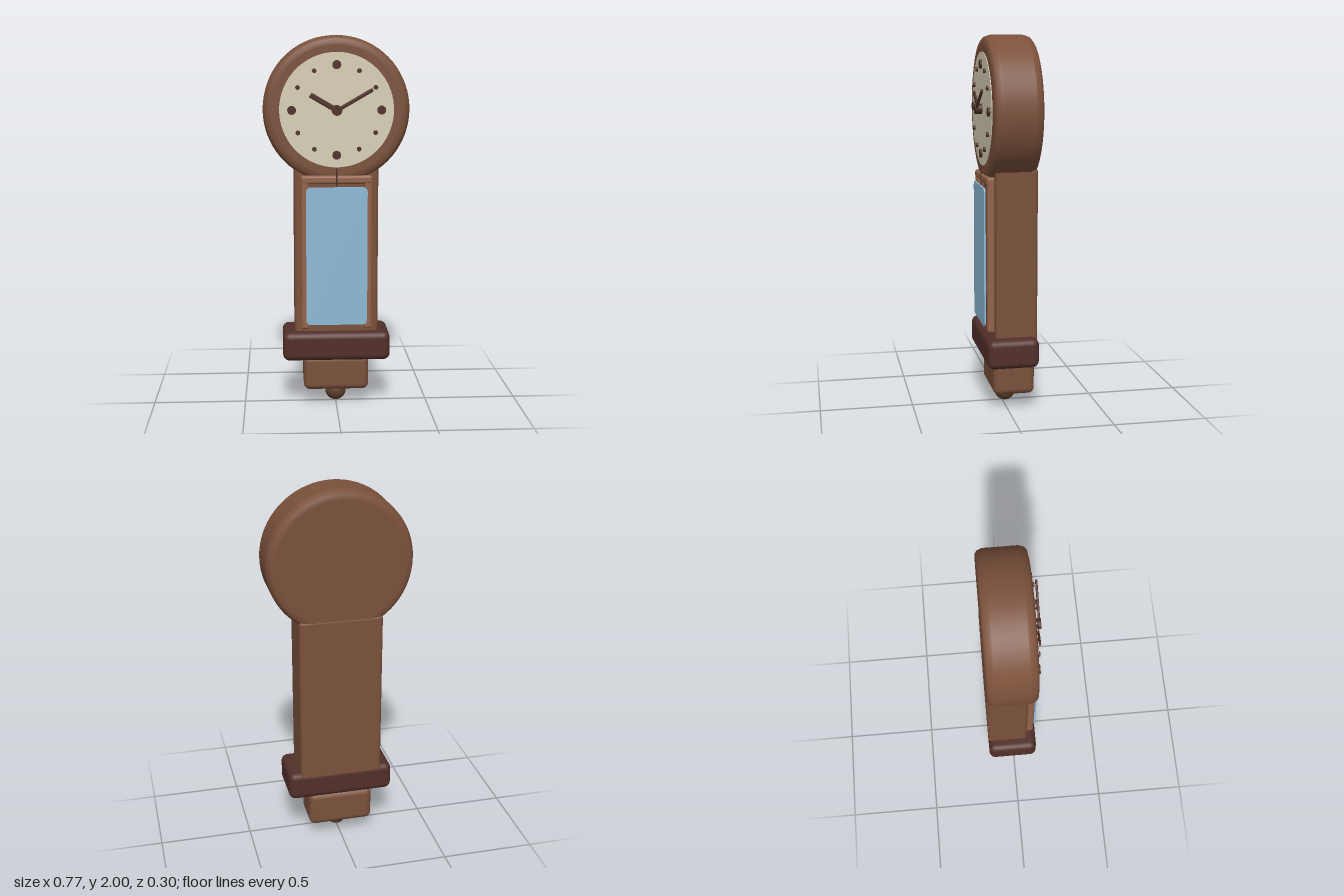
import * as THREE from 'three';
import { RoundedBoxGeometry } from 'three/addons/geometries/RoundedBoxGeometry.js';

const material = (name, color) => {
  const m = new THREE.MeshStandardMaterial({ color });
  m.name = name;
  return m;
};

export function createModel() {
  const wood = material('walnut', 0x7b513b);
  const trim = material('light walnut', 0x92634a);
  const dark = material('dark wood', 0x522f2a);
  const ink = material('dark brown', 0x4f3027);
  const knob = material('knob brown', 0x60402f);
  const cream = material('cream dial', 0xd8cfb6);
  const blue = material('blue glass', 0x8dbad6);

  const clock = new THREE.Group();
  clock.name = 'wallClock';
  const add = (name, geometry, mat, x = 0, y = 0, z = 0, parent = clock) => {
    const mesh = new THREE.Mesh(geometry, mat);
    mesh.name = name;
    mesh.position.set(x, y, z);
    parent.add(mesh);
    return mesh;
  };
  // Rounded block given by its extents in y and z, centred on x
  const block = (name, mat, w, y0, y1, z0, z1, r, x = 0) =>
    add(name, new RoundedBoxGeometry(w, y1 - y0, z1 - z0, 4, r), mat, x, (y0 + y1) / 2, (z0 + z1) / 2);
  // Disc facing +z
  const disc = (r, depth, sides = 32) => new THREE.CylinderGeometry(r, r, depth, sides).rotateX(Math.PI / 2);

  // Round head with softened rims
  const profile = [
    [0, -0.149], [0.338, -0.149], [0.343, -0.149], [0.364, -0.146], [0.377, -0.136], [0.386, -0.11], [0.386, -0.105],
    [0.386, 0.06], [0.386, 0.066], [0.377, 0.092], [0.364, 0.102], [0.343, 0.106], [0.338, 0.106], [0, 0.106],
  ].map(([r, z]) => new THREE.Vector2(r, z));
  add('head', new THREE.LatheGeometry(profile, 72).rotateX(Math.PI / 2), wood, 0, 1.615, 0);

  // Trunk, shelf, lower block and knob
  block('trunk', wood, 0.45, 0.38, 1.32, -0.151, 0.076, 0.02);
  block('shelf', dark, 0.58, 0.26, 0.418, -0.15, 0.126, 0.036);
  block('lowerBlock', wood, 0.354, 0.08, 0.275, -0.148, 0.077, 0.034);
  add('knob', new THREE.SphereGeometry(0.057, 32, 20), knob, 0, 0.057, -0.015);

  // Door frame
  for (const s of [-1, 1]) block(s > 0 ? 'leftStile' : 'rightStile', trim, 0.044, 0.437, 1.26, 0.068, 0.114, 0.014, s * 0.168);
  block('topRail', trim, 0.38, 1.226, 1.271, 0.068, 0.116, 0.014);

  // Pendulum behind the glass
  add('pendulumRod', new THREE.CylinderGeometry(0.005, 0.005, 0.7, 10), ink, 0, 0.96, 0.113);
  add('pendulumBob', disc(0.1, 0.02), ink, 0, 0.61, 0.107);

  // Glass pane with rounded corners
  const w = 0.163, h = 0.373, r = 0.025;
  const pane = new THREE.Shape();
  pane.absarc(w - r, h - r, r, 0, Math.PI / 2);
  pane.absarc(-w + r, h - r, r, Math.PI / 2, Math.PI);
  pane.absarc(-w + r, -h + r, r, Math.PI, Math.PI * 1.5);
  pane.absarc(w - r, -h + r, r, Math.PI * 1.5, Math.PI * 2);
  add('glass', new THREE.ExtrudeGeometry(pane, { depth: 0.009, bevelEnabled: false, curveSegments: 8 }), blue, 0, 0.838, 0.118);

  // Dial with hour markers
  const dial = new THREE.Group();
  dial.name = 'dial';
  dial.position.set(0, 1.615, 0);
  clock.add(dial);
  add('dialPlate', disc(0.3, 0.008, 72), cream, 0, 0, 0.1055, dial);
  for (let i = 0; i < 12; i++) {
    const a = (i * Math.PI) / 6;
    add('hourMarker', disc(i % 3 ? 0.012 : 0.023, 0.014, 20), ink, 0.235 * Math.sin(a), 0.235 * Math.cos(a), 0.114, dial);
  }

  // Hands and hub
  const hand = (name, length, width, z, angle) => {
    const geo = new RoundedBoxGeometry(length, width, 0.011, 3, 0.005).translate(length / 2, 0, 0);
    add(name, geo, ink, 0, 0, z, dial).rotation.z = angle;
  };
  hand('hourHand', 0.16, 0.028, 0.127, Math.PI * 5 / 6);
  hand('minuteHand', 0.215, 0.02, 0.139, Math.PI / 6);
  add('hub', disc(0.027, 0.04, 24), ink, 0, 0, 0.127, dial);

  return clock;
}
